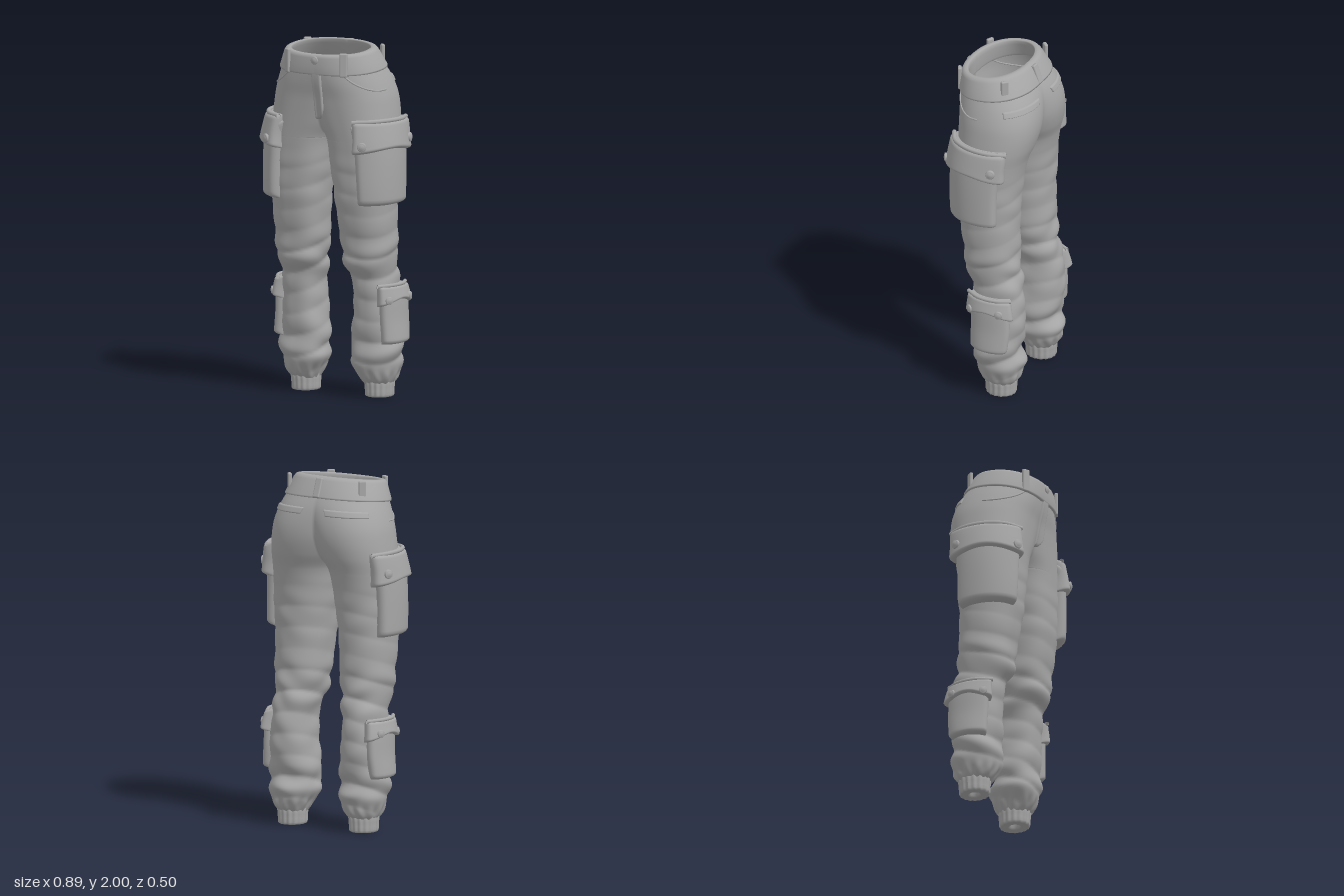
import * as THREE from 'three';
import { mergeGeometries, mergeVertices } from 'three/addons/utils/BufferGeometryUtils.js';
import { RoundedBoxGeometry } from 'three/addons/geometries/RoundedBoxGeometry.js';

const cloth = new THREE.MeshStandardMaterial({ color: 0xa6a6a6, side: THREE.DoubleSide });
cloth.name = 'grey cloth';
const CROTCH = 1.47, RAD = Math.PI / 180;
const lerp = THREE.MathUtils.lerp, smooth = THREE.MathUtils.smoothstep;

// Left half cross-sections: height, inner x, outer x, front z, back z
const SECTIONS = [
  [0.07, 0.165, 0.315, 0.0, -0.155], [0.1, 0.15, 0.335, 0.03, -0.18], [0.16, 0.12, 0.355, 0.06, -0.205],
  [0.21, 0.1, 0.375, 0.07, -0.213], [0.27, 0.1, 0.38, 0.065, -0.188], [0.35, 0.1, 0.375, 0.068, -0.2],
  [0.45, 0.115, 0.365, 0.075, -0.213], [0.57, 0.125, 0.36, 0.08, -0.21], [0.66, 0.12, 0.35, 0.09, -0.2],
  [0.74, 0.1, 0.355, 0.122, -0.185], [0.82, 0.08, 0.365, 0.143, -0.17], [0.92, 0.07, 0.372, 0.15, -0.167],
  [1.05, 0.06, 0.375, 0.172, -0.163], [1.2, 0.043, 0.382, 0.188, -0.168], [1.35, 0.02, 0.385, 0.195, -0.178],
  [1.47, 0, 0.382, 0.2, -0.2], [1.56, -0.05, 0.378, 0.205, -0.23], [1.65, -0.09, 0.368, 0.21, -0.247],
  [1.73, -0.12, 0.355, 0.215, -0.245], [1.82, -0.17, 0.328, 0.226, -0.222],
  [1.9, -0.225, 0.296, 0.232, -0.183], [2.0, -0.256, 0.256, 0.232, -0.135],
];

// Smoothly interpolated section as centre and radii
function section(y) {
  const S = SECTIONS, last = S.length - 1;
  y = THREE.MathUtils.clamp(y, S[0][0], S[last][0]);
  let i = 0;
  while (i < last - 1 && y > S[i + 1][0]) i++;
  const h = S[i + 1][0] - S[i][0], t = (y - S[i][0]) / h;
  const slope = (k, c) => {
    const a = S[Math.max(k - 1, 0)], b = S[Math.min(k + 1, last)];
    return (b[c] - a[c]) / (b[0] - a[0]);
  };
  const [inn, out, front, back] = [1, 2, 3, 4].map((c) =>
    (2 * t ** 3 - 3 * t * t + 1) * S[i][c] + (t ** 3 - 2 * t * t + t) * h * slope(i, c) +
    (3 * t * t - 2 * t ** 3) * S[i + 1][c] + (t ** 3 - t * t) * h * slope(i + 1, c));
  return { cx: (inn + out) / 2, rx: (out - inn) / 2, cz: (front + back) / 2, rz: (front - back) / 2 };
}

const power = (c, s) => (c < 0 && s > 0 ? 2.9 : 2.2);
function ringPoint(q, a) {
  const c = Math.cos(a), s = Math.sin(a), n = power(c, s);
  const r = (Math.abs(c) ** n + Math.abs(s) ** n) ** (-1 / n);
  return [q.cx + q.rx * r * c, q.cz + q.rz * r * s];
}
// The waist dips towards the front
const dip = (y, z) => y - 0.043 * smooth(y, 1.6, 1.95) * (z + 0.14) / 0.38;

function normalAt(y, a) {
  const q = section(y), p0 = ringPoint(q, a - 0.02), p1 = ringPoint(q, a + 0.02);
  return new THREE.Vector3(p1[1] - p0[1], 0, p0[0] - p1[0]).normalize();
}
// Point on the left half at height y and angle a (0 = outer side, 90 degrees = front)
function surf(y, a, off = 0) {
  const [x, z] = ringPoint(section(y), a), n = normalAt(y, a);
  return new THREE.Vector3(x + n.x * off, dip(y, z), z + n.z * off);
}
// Angle where the section meets the centre line
function limit(y, sign) {
  const q = section(y), k = q.cx / q.rx, n = power(-1, sign);
  if (y <= CROTCH + 1e-6 || k >= 1) return Math.PI;
  return Math.atan2((1 - k ** n) ** (1 / n), -k);
}
function halfPoint(y, t, off) {
  const p = surf(y, t * limit(y, t), off);
  if (y >= CROTCH - 1e-6 && Math.abs(t) > 0.9999) p.x = 0;
  return p;
}

function grid(nu, nv, fn) {
  const pos = [], idx = [], w = nu + 1;
  for (let j = 0; j <= nv; j++) for (let i = 0; i <= nu; i++) pos.push(...fn(i / nu, j / nv).toArray());
  for (let j = 0; j < nv; j++) for (let i = 0; i < nu; i++) {
    const a = j * w + i;
    idx.push(a, a + w, a + 1, a + 1, a + w, a + w + 1);
  }
  const g = new THREE.BufferGeometry();
  g.setAttribute('position', new THREE.Float32BufferAttribute(pos, 3));
  g.setIndex(idx);
  g.computeVertexNormals();
  return g;
}
function mirrored(geo) {
  const g = geo.index ? geo.clone() : mergeVertices(geo);
  g.applyMatrix4(new THREE.Matrix4().makeScale(-1, 1, 1));
  const a = g.index.array;
  for (let i = 0; i < a.length; i += 3) [a[i], a[i + 1]] = [a[i + 1], a[i]];
  return g;
}
function joinHalves(half) {
  half.deleteAttribute('normal');
  const g = mergeVertices(mergeGeometries([half, mirrored(half)]), 1e-5);
  g.computeVertexNormals();
  return g;
}

// Cloth folds at thigh, knee and ankle
const bump = (y, c, w) => Math.exp(-(((y - c) / w) ** 2));
const ridge = (p) => 2 * Math.abs(Math.sin(p / 2)) - 1.27;
function fold(y, a) {
  const amp = 0.013 * bump(y, 0.78, 0.13) + 0.012 * bump(y, 0.24, 0.11) + 0.005 * bump(y, 0.5, 0.15) + 0.004 * bump(y, 1.2, 0.2);
  const f = 0.6 * ridge(52 * y + 2.4 * Math.sin(a + 0.4)) + 0.5 * Math.sin(34 * y - 2.6 * Math.cos(a) + Math.sin(2 * a));
  return (1 - smooth(y, 1.3, 1.46)) * (amp * f + 0.006 * bump(y, 0.12, 0.035) * Math.cos(11 * a));
}

// Raised cloth panel wrapped on the surface, with rounded edges
const cosine = (u) => 0.5 - 0.5 * Math.cos(Math.PI * u);
const round = (d, r) => Math.sqrt(Math.max(0, 1 - (1 - Math.min(d / r, 1)) ** 2));
function panel({ top, bottom, a0, a1, thick, rise = 0, flare = 0, swell = 0, edge = 0.025 }) {
  const width = surf(bottom, a0 * RAD).distanceTo(surf(bottom, a1 * RAD));
  return grid(32, 26, (i, j) => {
    const u = cosine(i), v = cosine(j), low = bottom + rise * Math.sin(Math.PI * u) ** 2;
    const a = (lerp(a0, a1, u) + flare * (1 - v) * (u - 0.5) * 2) * RAD;
    const e = round(Math.min(u, 1 - u) * width, edge) * round(Math.min(v, 1 - v) * (top - low), edge);
    return surf(lerp(low, top, v), a, -0.012 + (thick + 0.012 + swell * (1 - v)) * e);
  });
}
function cord(points, off, r) {
  const curve = new THREE.CatmullRomCurve3(points.map(([y, a]) => surf(y, a * RAD, off)));
  return new THREE.TubeGeometry(curve, 28, r, 8);
}
// Turns a geometry that faces +z to lie on the surface
function stick(geo, y, deg, off) {
  const n = normalAt(y, deg * RAD), up = new THREE.Vector3(0, 1, 0);
  const m = new THREE.Matrix4().makeBasis(up.clone().cross(n), up, n).setPosition(surf(y, deg * RAD, off));
  return geo.applyMatrix4(m);
}
function snap(r) {
  const pts = [[1, -0.4], [1, 0.25], [0.88, 0.42], [0.72, 0.38], [0.62, 0.46], [0.3, 0.56], [0, 0.58]];
  return new THREE.LatheGeometry(pts.map(([x, y]) => new THREE.Vector2(x * r, y * r)), 24).rotateX(Math.PI / 2);
}

export function createModel() {
  const group = new THREE.Group();
  const add = (name, geo) => {
    const m = new THREE.Mesh(geo, cloth);
    m.name = name;
    group.add(m);
  };
  const both = (name, geo) => {
    add(name + 'Left', geo);
    add(name + 'Right', mirrored(geo));
  };

  // Hips and legs, with rows closing up towards the crotch
  const legRows = 130, hipRows = 40, rows = legRows + hipRows;
  add('hipsAndLegs', joinHalves(grid(80, rows, (u, v) => {
    const k = Math.round(v * rows), t = u * 2 - 1;
    const y = k <= legRows ? lerp(0.07, CROTCH, k / legRows) : CROTCH + 0.5 * ((k - legRows) / hipRows) ** 1.8;
    return halfPoint(y, t, fold(y, t * Math.PI));
  })));

  // Waistband: outside, rim and inside
  const band = [[-0.004, 1.878], [0.01, 1.88], [0.014, 1.89], [0.014, 1.93], [0.014, 1.98], [0.009, 1.995],
    [-0.002, 2.0], [-0.018, 2.0], [-0.026, 1.992], [-0.028, 1.97], [-0.028, 1.9], [-0.02, 1.88]];
  add('waistband', joinHalves(grid(48, band.length - 1, (u, v) => {
    const [off, y] = band[Math.round(v * (band.length - 1))];
    return halfPoint(y, u * 2 - 1, off);
  })));

  // Belt loops
  const loop = (h) => new RoundedBoxGeometry(0.044, h, 0.022, 3, 0.008);
  both('frontBeltLoop', stick(loop(0.135), 1.945, 54, 0.018));
  both('sideBeltLoop', stick(loop(0.115), 1.94, -37, 0.018));
  add('backBeltLoop', loop(0.115).rotateX(0.35).translate(0, 1.94, -0.178));

  // Fly and waist button
  add('fly', grid(14, 24, (i, j) => {
    const u = cosine(i), v = cosine(j), x = lerp(0.047, -0.018, u);
    const y = lerp(1.58 + 0.07 * (1 - u) ** 4, 1.9, v), q = section(y);
    const z = q.cz + q.rz * (1 - Math.abs((Math.abs(x) - q.cx) / q.rx) ** 2.9) ** (1 / 2.9);
    const e = round(Math.min(u, 1 - u) * 0.065, 0.01) * round(v * 0.3, 0.015);
    return new THREE.Vector3(x, dip(y, z), z - 0.008 + 0.02 * e);
  }));
  add('waistButton', snap(0.023).translate(0.012, 1.925, 0.243));

  // Hip pocket openings and back welts
  both('hipPocketSeam', cord([[1.88, 60], [1.83, 52], [1.79, 39], [1.77, 24], [1.768, 8]], 0.001, 0.005));
  both('backPocketWelt', panel({ top: 1.825, bottom: 1.785, a0: -93, a1: -30, thick: 0.008, edge: 0.008 }));

  // Thigh cargo pockets
  both('thighPocket', panel({ top: 1.56, bottom: 1.11, a0: -38, a1: 76, thick: 0.036, swell: 0.012, edge: 0.03 }));
  both('thighPocketFlap', panel({ top: 1.595, bottom: 1.4, a0: -38, a1: 71, thick: 0.04, swell: 0.028, rise: 0.03, flare: 9 }));
  both('thighFlapPiping', cord([[1.585, -37], [1.59, -10], [1.592, 18], [1.59, 45], [1.585, 70]], 0.026, 0.013));
  both('thighSnapFront', stick(snap(0.026), 1.455, 61, 0.06));
  both('thighSnapBack', stick(snap(0.026), 1.48, -23, 0.058));

  // Calf cargo pockets
  both('calfPocket', panel({ top: 0.62, bottom: 0.31, a0: -46, a1: 52, thick: 0.034, swell: 0.004 }));
  both('calfPocketFlap', panel({ top: 0.65, bottom: 0.525, a0: -49, a1: 54, thick: 0.042, swell: 0.016, rise: 0.035, flare: 4, edge: 0.02 }));
  both('calfFlapPiping', cord([[0.645, -48], [0.647, -15], [0.647, 20], [0.645, 53]], 0.032, 0.011));
  both('calfSnapFront', stick(snap(0.023), 0.565, 37, 0.05));
  both('calfSnapBack', stick(snap(0.023), 0.575, -24, 0.05));

  // Gathered ankle cuffs, turned in underneath
  const cuff = [[0.86, 0.12], [1.0, 0.1], [1.05, 0.085], [1.02, 0.06], [1.0, 0.035], [1.0, 0.014], [0.95, 0.003],
    [0.88, 0], [0.45, 0.002], [0.3, 0.01], [0.25, 0.05]].reverse();
  both('ankleCuff', grid(96, cuff.length - 1, (u, v) => {
    const [s, y] = cuff[Math.round(v * (cuff.length - 1))], a = u * 2 * Math.PI;
    const r = s * (1 + 0.03 * Math.cos(16 * a) * smooth(s, 0.5, 1));
    return new THREE.Vector3(0.242 + 0.08 * r * Math.cos(a), y, -0.077 + 0.088 * r * Math.sin(a));
  }));

  return group;
}
